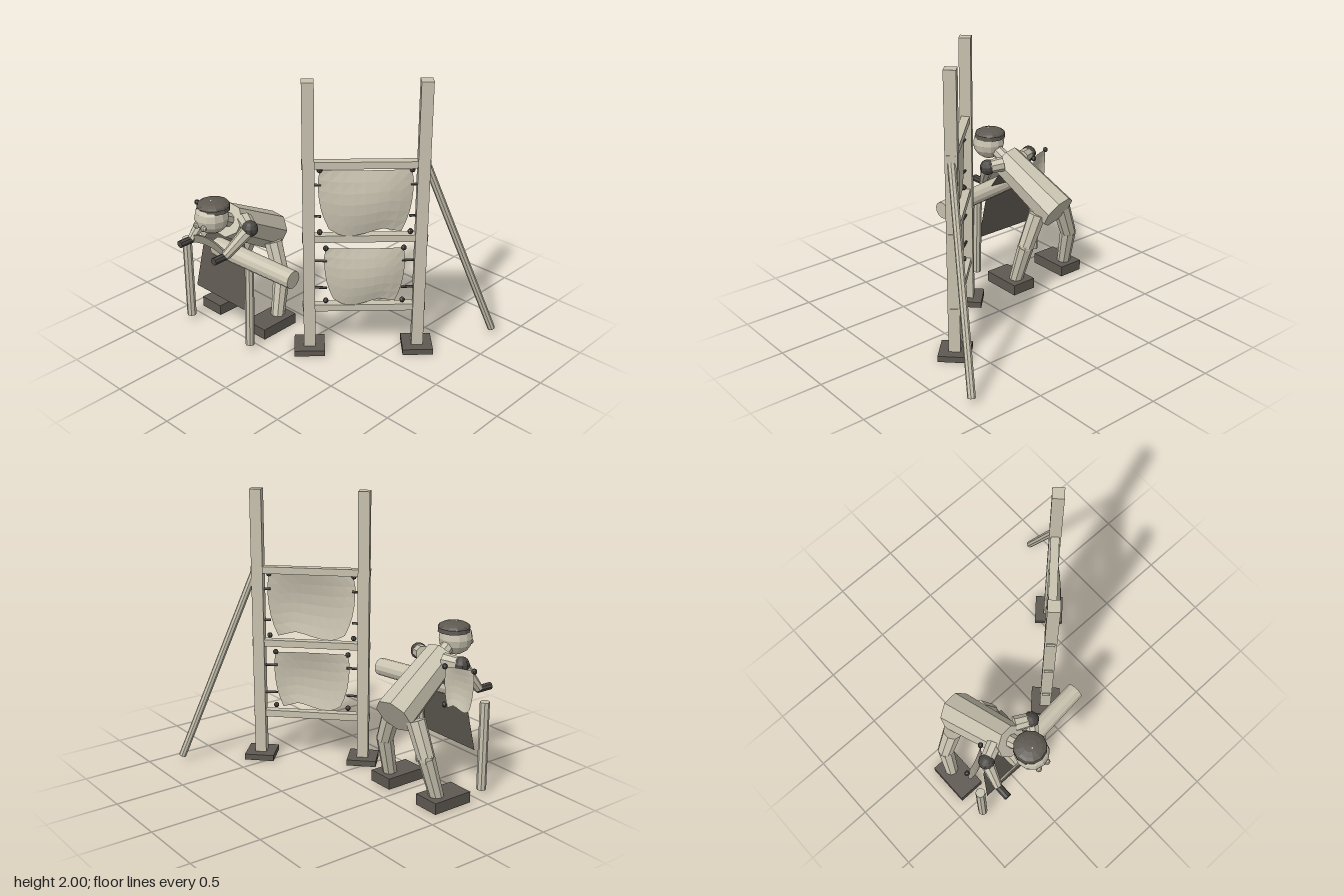
import * as THREE from 'three';

const mat = (name, color) => {
  const m = new THREE.MeshStandardMaterial({ color, flatShading: true, side: THREE.DoubleSide });
  m.name = name;
  return m;
};
const V = (x, y, z) => new THREE.Vector3(x, y, z);

export function createModel() {
  const pale = mat('paleWood', 0xc9c3b0);
  const dark = mat('darkLeather', 0x5e5951);
  const black = mat('charcoal', 0x4a4743);
  const iron = mat('blade', 0x8f8a7c);
  const model = new THREE.Group();
  model.name = 'hideScraper';

  const add = (parent, name, geo, material, x = 0, y = 0, z = 0) => {
    const m = new THREE.Mesh(geo, material);
    m.name = name;
    m.position.set(x, y, z);
    parent.add(m);
    return m;
  };
  const box = (p, name, m, w, h, d, x, y, z) => add(p, name, new THREE.BoxGeometry(w, h, d), m, x, y, z);
  const ball = (p, name, m, r, x, y, z, seg = 8) =>
    add(p, name, new THREE.SphereGeometry(r, seg, Math.max(5, Math.floor(seg * 0.7))), m, x, y, z);
  // Tapered rod from point a (radius ra) to point b (radius rb)
  const limb = (p, name, m, a, b, ra, rb = ra, seg = 8) => {
    const dir = b.clone().sub(a);
    const mid = a.clone().add(b).multiplyScalar(0.5);
    const o = add(p, name, new THREE.CylinderGeometry(rb, ra, dir.length(), seg), m, mid.x, mid.y, mid.z);
    o.quaternion.setFromUnitVectors(V(0, 1, 0), dir.normalize());
    return o;
  };
  // Hanging skin: narrowing, bulging sheet with a wavy lower edge
  const hide = (p, name, half, top, bottom, bulge) => {
    const widths = [0.96, 1, 1, 0.98, 0.94, 0.87, 0.77];
    const hem = [0.1, 0.03, 0, 0.02, 0.05, 0.09, 0.12, 0.09, 0.06];
    const geo = new THREE.PlaneGeometry(2, 1, 8, 6);
    const pos = geo.attributes.position;
    for (let j = 0; j <= 6; j++) for (let i = 0; i <= 8; i++) {
      const s = i / 4 - 1, t = j / 6, h = top - bottom;
      pos.setXYZ(j * 9 + i, s * half * widths[j],
        top - t * h * (1 - hem[i]),
        bulge * (1 - s * s) * Math.sin(Math.PI * (0.08 + 0.8 * t)) + 0.012);
    }
    geo.computeVertexNormals();
    add(p, name, geo, pale);
  };

  // Drying frame, set diagonally
  const frame = new THREE.Group();
  frame.name = 'dryingFrame';
  frame.position.set(0.343, 0, 0.004);
  frame.rotation.y = Math.PI / 4;
  model.add(frame);
  for (const s of [-1, 1]) {
    box(frame, 'post', pale, 0.081, 2, 0.081, s * 0.379, 1, 0);
    box(frame, 'postBase', dark, 0.213, 0.043, 0.213, s * 0.379, 0.0215, 0);
  }
  for (const y of [0.345, 0.885, 1.425]) box(frame, 'rail', pale, 0.85, 0.05, 0.058, 0, y, 0);
  const skins = [
    { half: 0.315, top: 1.39, bottom: 0.905, peg: 0.305, low: 0.935, pins: [1.28, 1.05] },
    { half: 0.275, top: 0.81, bottom: 0.365, peg: 0.265, low: 0.4, pins: [0.71, 0.5] },
  ];
  for (const k of skins) {
    hide(frame, 'stretchedHide', k.half, k.top, k.bottom, 0.05);
    for (const s of [-1, 1]) {
      for (const y of [k.top, k.low]) ball(frame, 'toggle', black, 0.02, s * k.peg, y, 0.015);
      for (const y of k.pins)
        limb(frame, 'lacing', black, V(s * (k.half - 0.02), y, 0.012), V(s * 0.345, y, 0.005), 0.009, 0.009, 6);
    }
  }
  limb(model, 'brace', pale, V(0.885, 0.035, -0.785), V(0.63, 1.4, -0.285), 0.027);

  // Bent figure: torso, neck, head
  const body = new THREE.Group();
  body.name = 'figure';
  model.add(body);
  const torso = limb(body, 'torso', pale, V(-0.575, 0.615, 0.015), V(-0.485, 0.91, 0.505), 0.142, 0.122, 8);
  torso.rotateY(Math.PI / 8);
  limb(body, 'neck', pale, V(-0.48, 0.91, 0.5), V(-0.452, 0.99, 0.63), 0.052, 0.046);
  ball(body, 'head', pale, 0.12, -0.45, 1.01, 0.67, 12);
  for (const s of [-1, 1]) ball(body, 'eye', pale, 0.023, -0.448 + s * 0.037, 0.97, 0.778);
  add(body, 'capBand', new THREE.CylinderGeometry(0.112, 0.115, 0.035, 12), dark, -0.45, 1.077, 0.652);
  const crown = ball(body, 'capCrown', dark, 0.115, -0.45, 1.09, 0.652, 12);
  crown.scale.y = 0.35;

  // Legs and feet
  for (const s of [-1, 1]) {
    const x = (d) => -0.57 + s * d;
    const hip = V(x(0.12), 0.6, 0.11), knee = V(x(0.215), 0.36, 0.125), ankle = V(x(0.245), 0.07, 0.2);
    limb(body, 'thigh', pale, hip, knee, 0.068, 0.06);
    ball(body, 'knee', pale, 0.06, knee.x, knee.y, knee.z);
    limb(body, 'shin', pale, knee, ankle, 0.06, 0.05);
    box(body, 'foot', dark, 0.195, 0.08, 0.312, x(0.24), 0.04, 0.265);
  }

  // Arms, elbow pads and tool handles
  const arms = [
    { shoulder: V(-0.58, 0.92, 0.44), elbow: V(-0.7, 0.91, 0.495), hand: V(-0.73, 0.72, 0.635) },
    { shoulder: V(-0.39, 0.92, 0.43), elbow: V(-0.282, 0.905, 0.48), hand: V(-0.37, 0.72, 0.635) },
  ];
  for (const { shoulder, elbow, hand } of arms) {
    limb(body, 'upperArm', pale, shoulder, elbow, 0.055, 0.05);
    ball(body, 'elbow', black, 0.058, elbow.x, elbow.y, elbow.z, 10);
    limb(body, 'forearm', pale, elbow, hand, 0.05, 0.032);
    limb(model, 'toolHandle', black, V(hand.x, 0.717, 0.625), V(hand.x, 0.717, 0.742), 0.027);
  }

  // Curved scraping blade
  const blade = new THREE.Shape();
  blade.moveTo(-0.755, 0.735);
  blade.quadraticCurveTo(-0.56, 0.84, -0.35, 0.735);
  blade.lineTo(-0.36, 0.695);
  blade.quadraticCurveTo(-0.56, 0.765, -0.735, 0.69);
  add(model, 'scraperBlade', new THREE.ExtrudeGeometry(blade, { depth: 0.014, bevelEnabled: false, curveSegments: 8 }),
    iron, 0, 0, 0.621);

  // Scraping beam on poles
  limb(model, 'beam', pale, V(-0.55, 0.702, 0.555), V(0.14, 0.672, 0.487), 0.067, 0.064, 12);
  limb(model, 'beamPole', pale, V(-0.845, 0.03, 0.585), V(-0.845, 0.67, 0.585), 0.034);
  limb(model, 'beamPole', pale, V(-0.235, 0.03, 0.56), V(-0.235, 0.66, 0.54), 0.032);

  // Apron sheet hanging from the chest
  const apron = new THREE.PlaneGeometry(1, 1, 1, 2);
  const rows = [[-0.675, -0.37, 0.82, 0.465], [-0.745, -0.295, 0.68, 0.505], [-0.78, -0.27, 0.3, 0.57]];
  rows.forEach(([l, r, y, z], j) => {
    apron.attributes.position.setXYZ(j * 2, l, y, z);
    apron.attributes.position.setXYZ(j * 2 + 1, r, y, z);
  });
  apron.computeVertexNormals();
  add(model, 'apron', apron, dark);

  // Small skin carried at the side
  const side = new THREE.Group();
  side.name = 'sideSkin';
  side.position.set(-0.758, 0, 0.418);
  side.rotation.y = 0.41;
  model.add(side);
  hide(side, 'smallHide', 0.105, 0.91, 0.6, 0.035);
  for (const s of [-1, 1]) ball(side, 'toggle', black, 0.02, s * 0.106, 0.91, 0.01);
  ball(side, 'toggle', black, 0.02, 0.1, 0.64, 0.01);

  return model;
}
